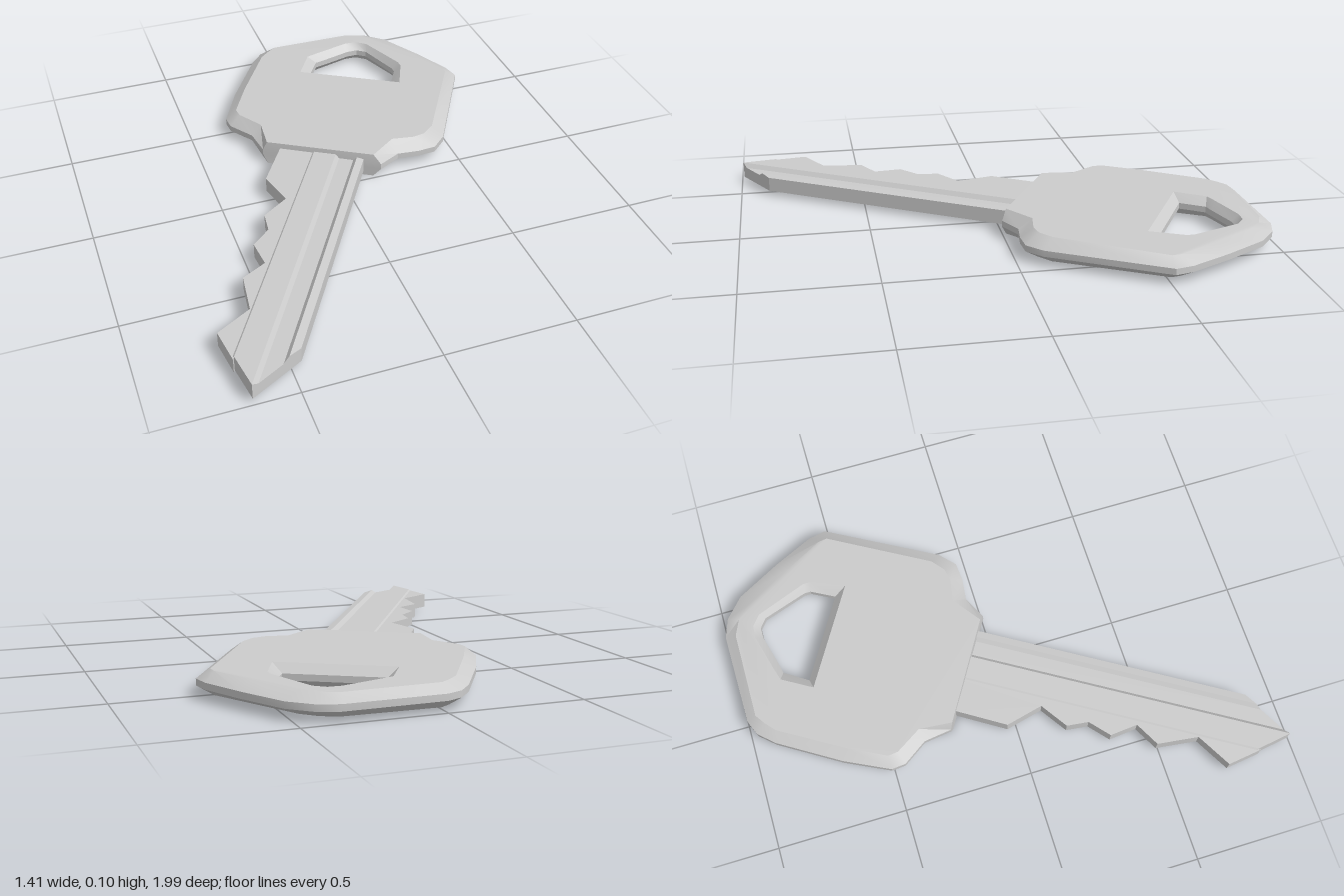
import * as THREE from 'three';
import { toCreasedNormals } from 'three/addons/utils/BufferGeometryUtils.js';

const material = new THREE.MeshStandardMaterial({ color: 0xcccccc });
const ANGLE = -0.546; // turn of the blade's long axis about y
const MID = 0.052;    // mid height of the head

// Each row: x, z at the waist of the edge, then x, z where the bevel meets the flat face
const HEAD_EDGE = [
  [-0.06, -0.97, -0.035, -0.93], [0, -0.995, 0.005, -0.957], [0.365, -1, 0.35, -0.957],
  [0.44, -0.975, 0.413, -0.93], [0.52, -0.905, 0.465, -0.88], [0.615, -0.735, 0.565, -0.7],
  [0.69, -0.58, 0.65, -0.545], [0.705, -0.51, 0.655, -0.51], [0.465, -0.09, 0.43, -0.13],
  [0.405, -0.035, 0.38, -0.09], [0.33, -0.03, 0.33, -0.08], [0.245, -0.04, 0.24, -0.095],
  [0.155, 0.005, 0.13, -0.015], [-0.26, -0.25, -0.245, -0.24], [-0.275, -0.36, -0.233, -0.37],
  [-0.34, -0.455, -0.296, -0.47], [-0.345, -0.51, -0.3, -0.51], [-0.26, -0.68, -0.22, -0.66],
  [-0.115, -0.91, -0.075, -0.895],
].reverse();

const HOLE_EDGE = [
  [0.095, -0.725, 0.05, -0.715], [0.155, -0.815, 0.12, -0.83], [0.2, -0.825, 0.17, -0.845],
  [0.32, -0.857, 0.32, -0.885], [0.365, -0.857, 0.37, -0.882], [0.4, -0.83, 0.41, -0.85],
  [0.46, -0.655, 0.487, -0.65], [0.46, -0.63, 0.487, -0.62], [0.41, -0.54, 0.43, -0.49],
];

// Head: flat faces that thin out away from the blade, joined by bevelled edges
function headGeometry() {
  const pos = [];
  const halfThickness = (x, z) => 0.0525 + 0.013 * (-0.519 * x + 0.855 * z);
  const face = (r, s) => [r[2], MID + s * halfThickness(r[2], r[3]), r[3]];
  const waist = (r, s) => [r[0], MID + s * 0.012, r[1]];

  const flat = (rows) => rows.map((r) => new THREE.Vector2(r[2], -r[3]));
  const all = [...HEAD_EDGE, ...HOLE_EDGE];
  for (const [a, b, c] of THREE.ShapeUtils.triangulateShape(flat(HEAD_EDGE), [flat(HOLE_EDGE)])) {
    for (const i of [a, b, c]) pos.push(...face(all[i], 1));
    for (const i of [a, c, b]) pos.push(...face(all[i], -1));
  }
  for (const rows of [HEAD_EDGE, HOLE_EDGE]) {
    const rings = [
      rows.map((r) => face(r, 1)), rows.map((r) => waist(r, 1)),
      rows.map((r) => waist(r, -1)), rows.map((r) => face(r, -1)),
    ];
    for (let k = 0; k < 3; k++) {
      rows.forEach((_, i) => {
        const j = (i + 1) % rows.length;
        const [a, b] = [rings[k], rings[k + 1]];
        pos.push(...a[i], ...b[i], ...b[j], ...a[i], ...b[j], ...a[j]);
      });
    }
  }
  const g = new THREE.BufferGeometry();
  g.setAttribute('position', new THREE.Float32BufferAttribute(pos, 3));
  return toCreasedNormals(g, 0.5);
}

// Toothed side of the blade, drawn in plan and extruded upward
function teethGeometry() {
  const outline = [
    [-0.16, -0.28], [-0.2, -0.21], [-0.31, -0.037], [-0.275, 0.11], [-0.38, 0.18],
    [-0.39, 0.265], [-0.465, 0.33], [-0.455, 0.44], [-0.55, 0.49], [-0.57, 0.65],
    [-0.705, 0.725], [-0.687, 0.86], [-0.046, -0.203],
  ];
  const shape = new THREE.Shape(outline.map(([x, z]) => new THREE.Vector2(x, -z)));
  return new THREE.ExtrudeGeometry(shape, { depth: 0.06, bevelEnabled: false })
    .rotateX(-Math.PI / 2).translate(0, 0.02, 0);
}

// Long blade strip: a cross-section run along the blade, its end cut at a slant
function stripGeometry(section, endAt) {
  const shape = new THREE.Shape(section.map(([u, y]) => new THREE.Vector2(u, y)));
  const g = new THREE.ExtrudeGeometry(shape, { depth: 1, bevelEnabled: false });
  const p = g.attributes.position;
  for (let i = 0; i < p.count; i++) p.setZ(i, p.getZ(i) < 0.5 ? -0.15 : endAt(p.getX(i)));
  g.computeVertexNormals();
  return g.rotateY(ANGLE);
}

export function createModel() {
  const key = new THREE.Group();
  key.name = 'key';
  const add = (name, geometry, parent) => {
    const mesh = new THREE.Mesh(geometry, material);
    mesh.name = name;
    parent.add(mesh);
  };

  add('head', headGeometry(), key);

  const blade = new THREE.Group();
  blade.name = 'blade';
  key.add(blade);
  add('teeth', teethGeometry(), blade);
  // Raised rail beside the teeth
  add('rail', stripGeometry(
    [[-0.145, 0.02], [-0.05, 0.02], [-0.05, 0.085], [-0.139, 0.085], [-0.145, 0.08]],
    (u) => 1.189 + 1.19 * (u + 0.05)), blade);
  // Sunken groove and the plain edge of the blade
  add('groovedEdge', stripGeometry(
    [[-0.05, 0.02], [0.064, 0.02], [0.064, 0.078], [0.036, 0.083], [0.022, 0.068],
      [-0.036, 0.068], [-0.05, 0.085]],
    (u) => 1.189 - 1.7 * (u + 0.05)), blade);

  return key;
}
